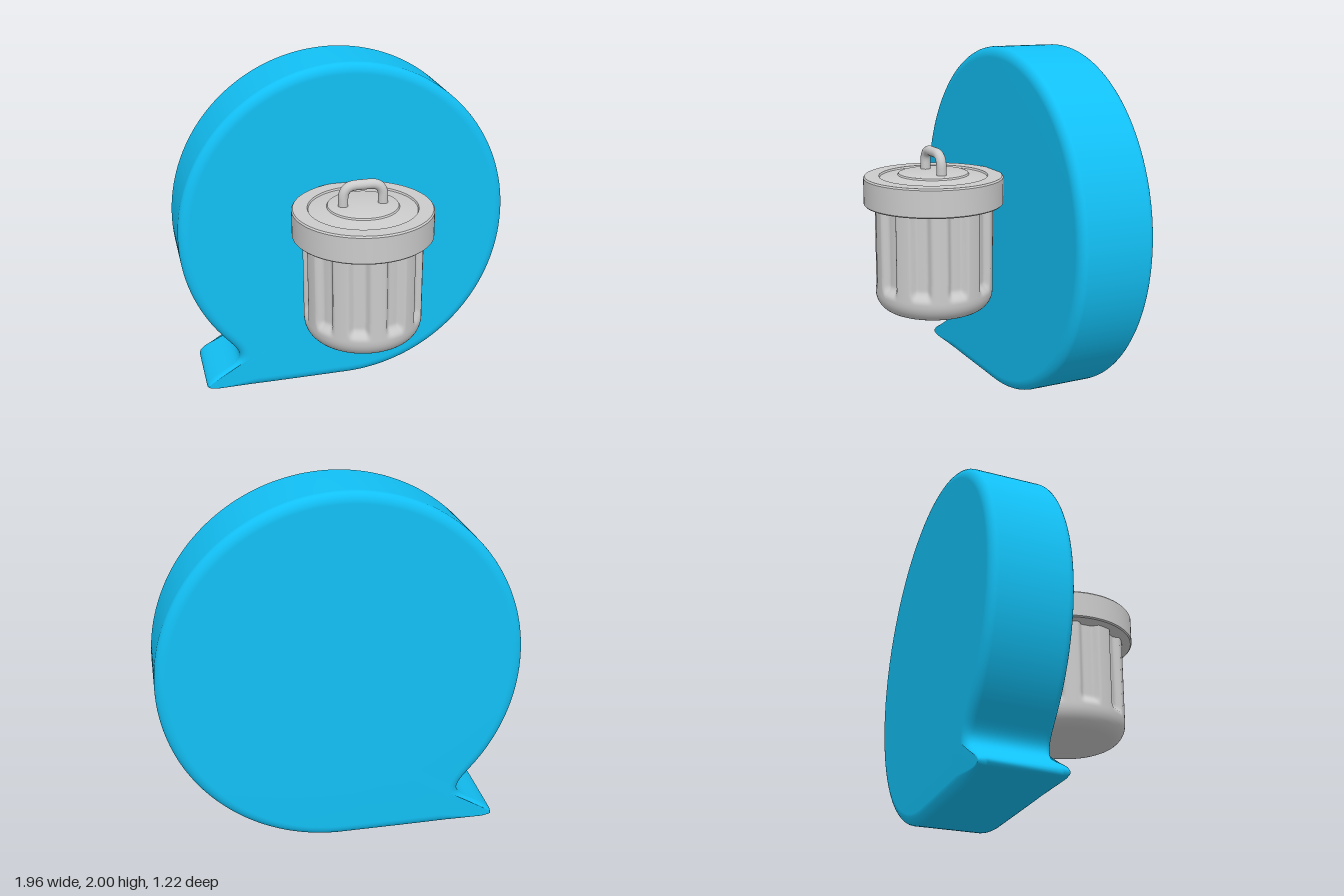
import * as THREE from 'three';
import { mergeVertices, toCreasedNormals } from 'three/addons/utils/BufferGeometryUtils.js';

const grey = new THREE.MeshStandardMaterial({ color: 0xcccccc });
const blue = new THREE.MeshStandardMaterial({ color: 0x12c0f5 });

function addMesh(parent, name, geometry, material) {
  const mesh = new THREE.Mesh(geometry, material);
  mesh.name = name;
  parent.add(mesh);
  return mesh;
}

const lathe = (points, segments) =>
  new THREE.LatheGeometry(points.map(([r, y]) => new THREE.Vector2(r, y)), segments);

// Welds duplicate points so that the shading is smooth everywhere
function weld(geometry) {
  geometry.deleteAttribute('uv');
  geometry.deleteAttribute('normal');
  const welded = mergeVertices(geometry, 1e-5);
  welded.computeVertexNormals();
  return welded;
}

// Round speech bubble with a tail at the lower left, edges rounded
function bubbleGeometry() {
  const shape = new THREE.Shape();
  shape.absellipse(0, 1.002, 0.982, 0.998, THREE.MathUtils.degToRad(-90), THREE.MathUtils.degToRad(220), false);
  shape.bezierCurveTo(-0.69, 0.285, -0.655, 0.25, -0.665, 0.21);
  shape.bezierCurveTo(-0.68, 0.15, -0.82, 0.115, -0.868, 0.058);
  shape.bezierCurveTo(-0.885, 0.03, -0.87, 0.025, -0.82, 0.018);
  shape.bezierCurveTo(-0.7, 0.002, -0.5, 0.004, 0, 0.004);
  const outline = shape.getSpacedPoints(320).slice(0, -1);
  const n = outline.length;
  const tip = new THREE.Vector2(-0.87, 0.04);

  // Inward direction at each point, shortened where the tail gets thin
  const inward = outline.map((p, i) => {
    const t = outline[(i + 1) % n].clone().sub(outline[(i + n - 1) % n]).normalize();
    const reach = THREE.MathUtils.clamp(p.distanceTo(tip) / 0.3, 0.2, 1);
    return new THREE.Vector2(-t.y, t.x).multiplyScalar(reach);
  });

  // Rings from back to front: quarter-round, straight wall, quarter-round
  const steps = 7, zBack = -0.608, zFront = -0.155, depth = 0.045, width = 0.06;
  const rings = [];
  for (let k = 0; k <= steps; k++) {
    const a = (k / steps) * Math.PI / 2;
    rings.push([zBack + depth * (1 - Math.sin(a)), width * (1 - Math.cos(a))]);
  }
  rings.reverse();
  rings.sort((a, b) => a[0] - b[0]);
  for (const [z, inset] of [...rings].reverse()) rings.push([zBack + zFront - z, inset]);

  const positions = [], index = [];
  for (const [z, inset] of rings) {
    outline.forEach((p, i) => positions.push(p.x + inward[i].x * inset, p.y + inward[i].y * inset, z));
  }
  const back = rings.length * n, front = back + 1, last = (rings.length - 1) * n;
  positions.push(-0.3, 0.4, zBack, -0.3, 0.4, zFront);
  for (let i = 0; i < n; i++) {
    const j = (i + 1) % n;
    for (let k = 0; k < rings.length - 1; k++) {
      const a = k * n + i, b = k * n + j;
      index.push(a, b, b + n, a, b + n, a + n);
    }
    index.push(back, j, i, front, last + i, last + j);
  }
  const geometry = new THREE.BufferGeometry();
  geometry.setAttribute('position', new THREE.Float32BufferAttribute(positions, 3));
  geometry.setIndex(index);
  geometry.computeVertexNormals();
  return geometry;
}

// Bin body with a rounded foot and ten upright flutes
function binGeometry() {
  const profile = [[0, 0.53], [0.2, 0.53]];
  for (let k = 0; k <= 10; k++) {
    const a = (k / 10) * Math.PI / 2;
    profile.push([0.235 + 0.1 * Math.sin(a), 0.64 - 0.11 * Math.cos(a)]);
  }
  for (let k = 1; k <= 10; k++) profile.push([0.335, 0.64 + 0.012 * k]);
  profile.push([0.335, 0.95], [0.335, 1.2]);
  const geometry = lathe(profile, 200);
  const p = geometry.attributes.position;
  for (let i = 0; i < p.count; i++) {
    const x = p.getX(i), z = p.getZ(i);
    const wave = -Math.cos(Math.atan2(x, z) * 10);
    const groove = THREE.MathUtils.smoothstep(wave, -0.35, 0.6)
      * THREE.MathUtils.smoothstep(p.getY(i), 0.65, 0.71);
    const s = 1 - 0.1 * groove;
    p.setX(i, x * s);
    p.setZ(i, z * s);
  }
  return weld(geometry);
}

export function createModel() {
  const model = new THREE.Group();
  model.name = 'binInSpeechBubble';

  addMesh(model, 'speechBubble', bubbleGeometry(), blue);

  const bin = new THREE.Group();
  bin.name = 'bin';
  bin.position.z = 0.218;
  model.add(bin);

  addMesh(bin, 'binBody', binGeometry(), grey);

  // Lid with a deep rim and a stepped top
  const lid = lathe([
    [0, 1.14], [0.385, 1.14], [0.392, 1.147], [0.392, 1.293], [0.385, 1.302],
    [0.305, 1.302], [0.3, 1.292], [0.2, 1.308], [0.195, 1.317], [0.185, 1.32], [0, 1.32],
  ], 80);
  addMesh(bin, 'lid', toCreasedNormals(lid, 0.6), grey);

  // Arched handle
  const path = new THREE.CurvePath();
  const v = (x, y) => new THREE.Vector3(x, y, 0);
  path.add(new THREE.LineCurve3(v(-0.112, 1.3), v(-0.112, 1.36)));
  path.add(new THREE.CubicBezierCurve3(v(-0.112, 1.36), v(-0.112, 1.41), v(-0.085, 1.433), v(-0.04, 1.433)));
  path.add(new THREE.LineCurve3(v(-0.04, 1.433), v(0.04, 1.433)));
  path.add(new THREE.CubicBezierCurve3(v(0.04, 1.433), v(0.085, 1.433), v(0.112, 1.41), v(0.112, 1.36)));
  path.add(new THREE.LineCurve3(v(0.112, 1.36), v(0.112, 1.3)));
  addMesh(bin, 'handle', new THREE.TubeGeometry(path, 64, 0.028, 16), grey);

  return model;
}
